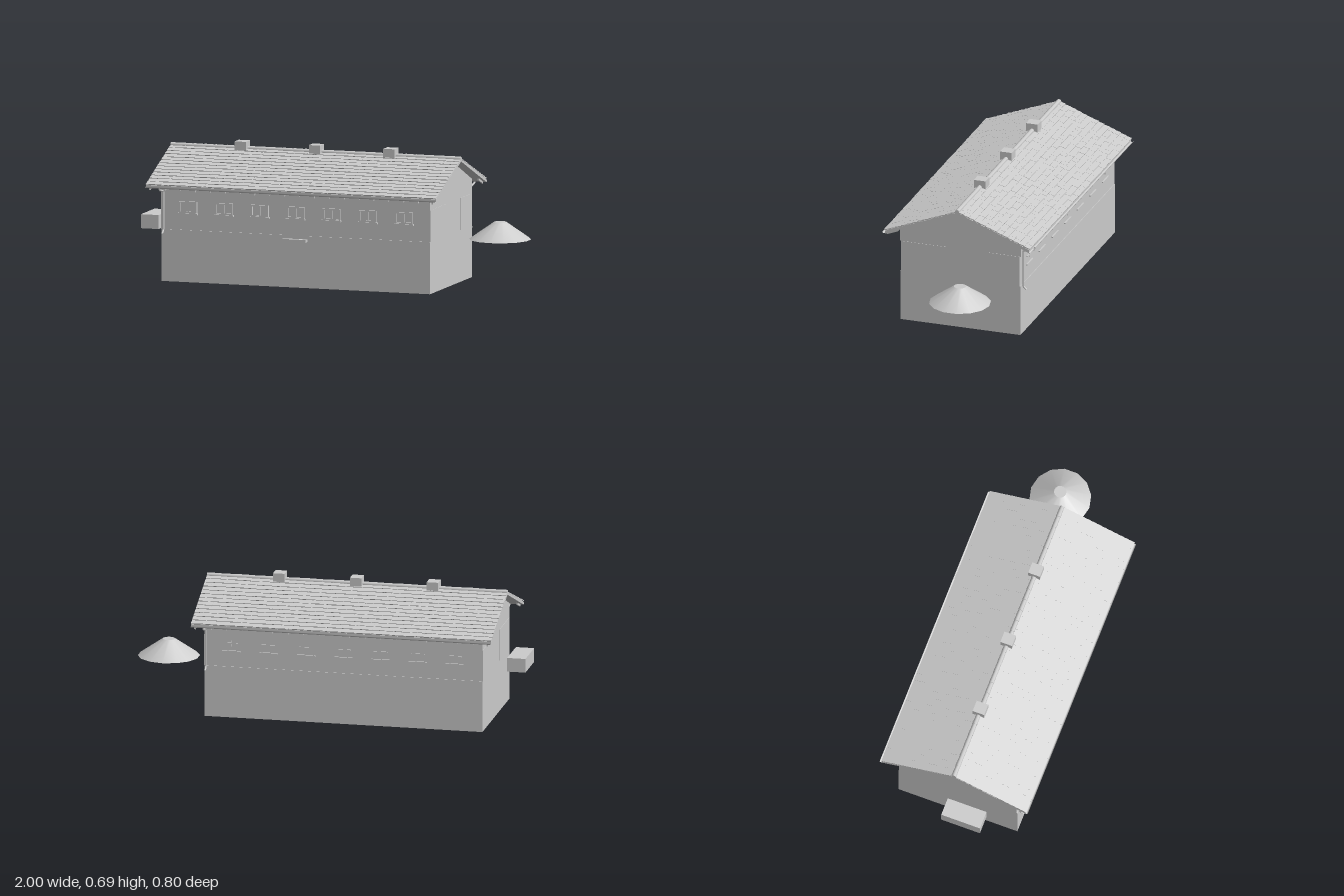
import * as THREE from 'three';
import { mergeGeometries } from 'three/addons/utils/BufferGeometryUtils.js';

export function createModel() {
  const model = new THREE.Group();
  const grey = new THREE.MeshStandardMaterial({ color: 0xcccccc });
  grey.name = 'plainGrey';
  const greyOpen = new THREE.MeshStandardMaterial({ color: 0xcccccc, side: THREE.DoubleSide });
  greyOpen.name = 'plainGreyOpen';

  const add = (name, geo, mat = grey, parent = model) => {
    const mesh = new THREE.Mesh(geo, mat);
    mesh.name = name;
    parent.add(mesh);
    return mesh;
  };
  // Box given by its limits
  const box = (x0, x1, y0, y1, z0, z1) =>
    new THREE.BoxGeometry(x1 - x0, y1 - y0, z1 - z0).translate((x0 + x1) / 2, (y0 + y1) / 2, (z0 + z1) / 2);
  // Profile of [z, y] points extruded from x0 to x1
  const alongX = (pts, x0, x1) => {
    const shape = new THREE.Shape(pts.map(([z, y]) => new THREE.Vector2(-z, y)));
    return new THREE.ExtrudeGeometry(shape, { depth: x1 - x0, bevelEnabled: false })
      .rotateY(Math.PI / 2).translate(x0, 0, 0);
  };
  let seed = 7;
  const rand = () => (seed = (seed * 16807) % 2147483647) / 2147483647;

  // Walls: plinth, slightly recessed storey, and gabled top
  const X0 = -0.84, X1 = 0.605;
  add('plinth', box(X0, X1, 0, 0.267, -0.322, 0.323));
  add('upperWall', box(X0, X1, 0.267, 0.43, -0.319, 0.319));
  add('gableWall', alongX([[-0.325, 0.43], [0.325, 0.43], [0.325, 0.504], [0, 0.643], [-0.325, 0.504]], X0, X1));

  // Thin corner panels on both gable ends
  for (const x of [X0 - 0.002, X1 - 0.002]) {
    add('cornerPanel', box(x, x + 0.004, 0.267, 0.43, 0.08, 0.319));
    add('cornerPanel', box(x, x + 0.004, 0.267, 0.43, -0.319, -0.143));
  }

  // Roof, built around its own centre
  const roof = new THREE.Group();
  roof.name = 'roof';
  roof.position.x = -0.12;
  model.add(roof);
  const H = 0.78;
  add('roofSlab', alongX([
    [0, 0.65], [-0.388, 0.498], [-0.388, 0.482], [0, 0.64], [0.388, 0.482], [0.388, 0.498],
  ], -H, H), grey, roof);

  // Overlapping tiles with slightly uneven lower edges
  const rows = 13, cols = 40, slope = Math.atan2(0.152, 0.388);
  const run = 0.417 / rows, w = 2 * H / cols;
  const tiles = [];
  for (const side of [0, Math.PI]) {
    for (let r = 0; r < rows; r++) {
      for (let c = 0; c < cols; c++) {
        const s = (r + 0.5) * run;
        const lift = 0.002 + rand() * 0.0015;
        tiles.push(new THREE.BoxGeometry(w, 0.005, run + 0.006)
          .rotateX(slope - 0.1)
          .translate(-H + (c + 0.5) * w, 0.651 - s * Math.sin(slope) + lift, s * Math.cos(slope) + rand() * 0.002)
          .rotateY(side));
      }
    }
  }
  add('roofTiles', mergeGeometries(tiles), grey, roof);

  // Ridge caps
  const caps = [];
  for (let i = 0; i < 26; i++) {
    caps.push(new THREE.CylinderGeometry(0.013, 0.0115, 0.06, 8).rotateZ(Math.PI / 2)
      .translate(-H + 0.03 + i * 0.06, 0.653, 0));
  }
  add('ridgeCaps', mergeGeometries(caps), grey, roof);

  // Chimneys
  for (const x of [-0.517, -0.118, 0.282])
    add('chimney', box(x - 0.03, x + 0.03, 0.635, 0.69, -0.031, 0.032));

  // Rafter tails, gutters and downpipes
  for (const s of [1, -1]) {
    const tails = [];
    for (let i = 0; i < 20; i++) {
      const x = -0.88 + i * 0.08;
      const pts = [[0.323, 0.508], [0.323, 0.497], [0.386, 0.472], [0.386, 0.483]];
      tails.push(alongX(pts.map(([z, y]) => [z * s, y]), x - 0.004, x + 0.004));
    }
    add('rafterTails', mergeGeometries(tails));

    const gutter = add('gutter', new THREE.CylinderGeometry(0.008, 0.008, 2 * H, 10, 1, true, 0, Math.PI)
      .rotateX(0).rotateZ(-Math.PI / 2), greyOpen);
    gutter.position.set(-0.12, 0.491, 0.394 * s);

    const x = s > 0 ? -0.825 : 0.595;
    const path = new THREE.CurvePath();
    const pts = [[0.394, 0.487], [0.393, 0.475], [0.335, 0.462], [0.335, 0.267], [0.351, 0.25]]
      .map(([z, y]) => new THREE.Vector3(x, y, z * s));
    for (let i = 1; i < pts.length; i++) path.add(new THREE.LineCurve3(pts[i - 1], pts[i]));
    add('downpipe', new THREE.TubeGeometry(path, 60, 0.005, 8), greyOpen);
  }

  // Front windows: frame, mullion, recessed panes and sill
  const centres = [-0.695, -0.503, -0.31, -0.118, 0.075, 0.273, 0.465];
  const frontWindow = (x) => {
    const g = new THREE.Group();
    g.name = 'frontWindow';
    g.position.x = x;
    model.add(g);
    add('windowFrame', mergeGeometries([
      box(-0.047, 0.047, 0.407, 0.414, 0.315, 0.329),
      box(-0.047, 0.047, 0.355, 0.362, 0.315, 0.329),
      box(-0.047, -0.039, 0.355, 0.414, 0.315, 0.329),
      box(0.039, 0.047, 0.355, 0.414, 0.315, 0.329),
      box(-0.004, 0.004, 0.355, 0.414, 0.315, 0.327),
    ]), grey, g);
    add('windowPanes', box(-0.039, 0.039, 0.362, 0.407, 0.315, 0.321), grey, g);
    add('windowSill', box(-0.052, 0.052, 0.347, 0.355, 0.315, 0.335), grey, g);
  };
  centres.forEach(frontWindow);

  // Door under the middle window, with step and handle
  add('door', box(-0.16, -0.076, 0.25, 0.347, 0.315, 0.3245));
  add('doorPost', box(-0.121, -0.115, 0.25, 0.347, 0.315, 0.326));
  add('doorHandle', box(-0.085, -0.079, 0.32, 0.328, 0.32, 0.331));
  add('doorStep', box(-0.182, -0.055, 0.236, 0.25, 0.315, 0.347));

  // Back windows: shallow head and sill strips with a short mullion
  centres.forEach((x, i) => {
    add('backWindowHead', box(x - 0.035, x + 0.035, 0.388, 0.393, -0.324, -0.316));
    add('backWindowSill', box(x - 0.047, x + 0.047, 0.346, 0.352, -0.327, -0.316));
    if (i % 3 === 0) add('backWindowMullion', box(x - 0.002, x + 0.002, 0.375, 0.405, -0.323, -0.316));
  });

  // Free-standing box and mound beside the gables
  add('sideBox', box(-1, -0.905, 0.243, 0.315, -0.03, 0.18));
  add('mound', new THREE.CylinderGeometry(0.032, 0.158, 0.088, 14).translate(0.842, 0.284, -0.08));

  return model;
}
